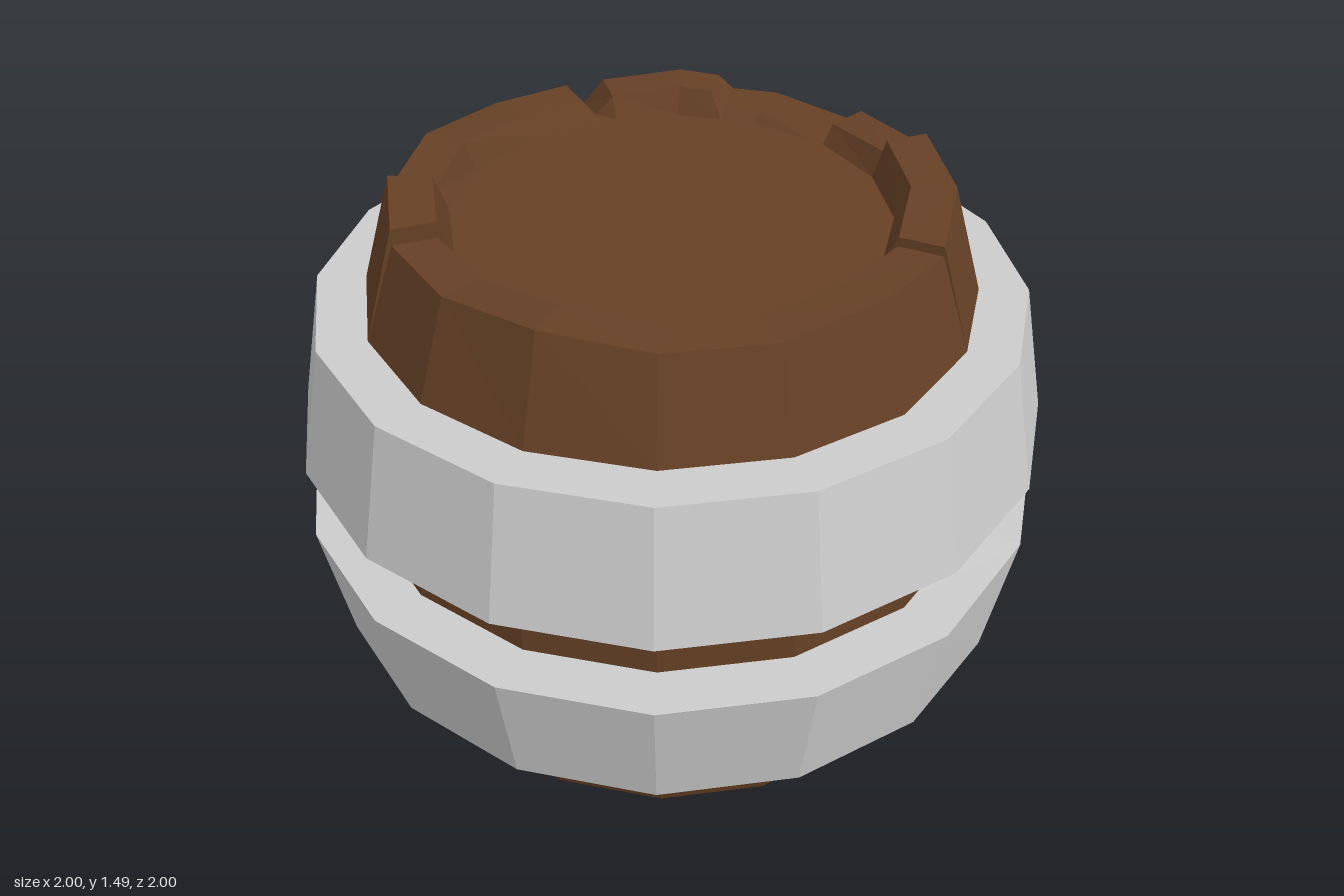
import * as THREE from 'three';

const SIDES = 16;

// Point on a 16-sided ring; fractional k lies on the flat between two corners.
function ringPoint(k, r, y) {
  const i = Math.floor(k), f = k - i;
  const a = (i * 2 * Math.PI) / SIDES, b = ((i + 1) * 2 * Math.PI) / SIDES;
  return new THREE.Vector3(
    r * (Math.cos(a) * (1 - f) + Math.cos(b) * f), y,
    r * (Math.sin(a) * (1 - f) + Math.sin(b) * f));
}

// Joins neighbouring [radius, height] profiles around the axis.
function loft(stations) {
  const pos = [];
  const tri = (a, b, c) => {
    const area = b.clone().sub(a).cross(c.clone().sub(a)).length();
    if (area > 1e-7) for (const p of [a, b, c]) pos.push(p.x, p.y, p.z);
  };
  for (let s = 0; s < stations.length - 1; s++) {
    const [A, B] = [stations[s], stations[s + 1]].map(
      ({ k, profile }) => profile.map(([r, y]) => ringPoint(k, r, y)));
    for (let i = 0; i < A.length - 1; i++) {
      tri(A[i], A[i + 1], B[i + 1]);
      tri(A[i], B[i + 1], B[i]);
    }
  }
  const g = new THREE.BufferGeometry();
  g.setAttribute('position', new THREE.Float32BufferAttribute(pos, 3));
  g.computeVertexNormals();
  return g;
}

function part(name, geometry, color) {
  const mesh = new THREE.Mesh(geometry,
    new THREE.MeshStandardMaterial({ color, flatShading: true }));
  mesh.name = name;
  return mesh;
}

// Chipped rim: [corner index, height]; a repeated index makes a step.
const RIM = [
  [0, 1.485], [1, 1.475], [2, 1.46], [2, 1.435], [3, 1.455], [4, 1.435],
  [5, 1.435], [6, 1.455], [7, 1.44], [8, 1.435], [8, 1.478], [9, 1.478],
  [9, 1.44], [10, 1.46], [11, 1.44], [11.8, 1.44], [12, 1.35], [12.2, 1.44],
  [13, 1.455], [13.4, 1.45], [13.55, 1.41], [14, 1.41], [14.8, 1.395],
  [15, 1.385], [15, 1.435], [16, 1.45], [16, 1.485],
];

// Wooden body with a recessed lid and base
function barrelBody() {
  const floor = 1.385;
  return loft(RIM.map(([k, h]) => ({
    k,
    profile: [
      [0, 0.05], [0.565, 0.05], [0.6, 0], [0.715, 0],
      [0.86, 0.45], [0.86, 0.99], [0.8, 1.18],
      [0.715 + Math.max(0, 1.435 - h) / 3, h],
      [0.6, Math.max(h, floor + 0.002)], [0.565, floor], [0, floor],
    ],
  })));
}

// Solid hoop; dents map a corner index to [bottom shift, top shift].
function hoop(bottom, top, rBottom, rTop, dents) {
  const stations = [];
  for (let k = 0; k <= SIDES; k++) {
    const [db, dt] = dents[k % SIDES] || [0, 0];
    const b = bottom + db, t = top + dt;
    const inB = rBottom < rTop ? 0.78 : 0.84, inT = rBottom < rTop ? 0.84 : 0.78;
    stations.push({ k, profile: [[inB, b], [rBottom, b], [rTop, t], [inT, t], [inB, b]] });
  }
  return loft(stations);
}

export function createModel() {
  const barrel = new THREE.Group();
  barrel.name = 'barrel';
  barrel.add(
    part('woodenBody', barrelBody(), 0x654025),
    part('upperHoop', hoop(0.82, 1.18, 1, 0.93, { 2: [0.005, 0.006], 15: [0.008, 0] }), 0xcccccc),
    part('lowerHoop', hoop(0.26, 0.615, 0.93, 1,
      { 0: [-0.005, 0.01], 1: [-0.02, 0], 2: [0, 0.025], 15: [0, 0.025] }), 0xcccccc));
  return barrel;
}
